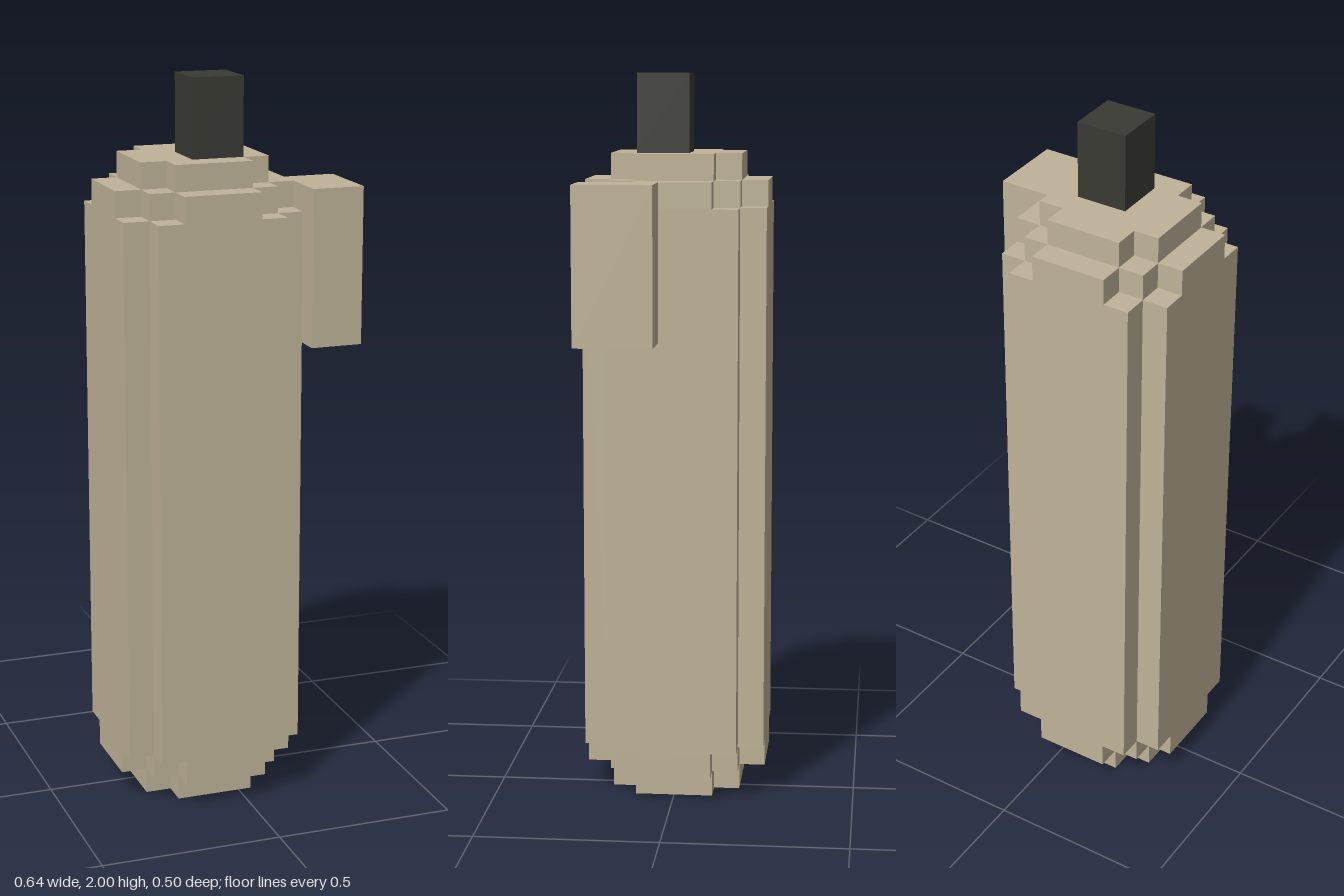
import * as THREE from 'three';

const U = 2 / 28; // one block

// Stepped prism: one quarter of the outline, repeated by quarter turns
function steppedPrism(quarter, y0, y1) {
  const points = [];
  for (let turn = 0; turn < 4; turn++) {
    for (const [a, b] of quarter) {
      const [x, y] = [[a, b], [-b, a], [-a, -b], [b, -a]][turn];
      points.push(new THREE.Vector2(x * U, y * U));
    }
  }
  const geometry = new THREE.ExtrudeGeometry(new THREE.Shape(points), {
    depth: (y1 - y0) * U, bevelEnabled: false,
  });
  geometry.rotateX(-Math.PI / 2);
  geometry.translate(-U, y0 * U, 0);
  return geometry;
}

// Box given by its minimum and maximum corners in blocks
function block(min, max) {
  const size = max.map((v, i) => (v - min[i]) * U);
  const mid = max.map((v, i) => ((v + min[i]) / 2) * U);
  return new THREE.BoxGeometry(...size).translate(...mid);
}

export function createModel() {
  const tan = new THREE.MeshStandardMaterial({ color: 0xbfb398 });
  tan.name = 'tan';
  const charcoal = new THREE.MeshStandardMaterial({ color: 0x3a3a34 });
  charcoal.name = 'charcoal';

  const model = new THREE.Group();
  model.name = 'model';
  const add = (name, geometry, material, parent = model) => {
    const mesh = new THREE.Mesh(geometry, material);
    mesh.name = name;
    parent.add(mesh);
  };

  // Rounded blocky body, stacked from stepped layers
  const body = new THREE.Group();
  body.name = 'body';
  model.add(body);
  const cap = [[2.5, 1.5], [1.5, 1.5], [1.5, 2.5]];
  const shoulder = [[3.5, 1.5], [2.5, 1.5], [2.5, 2.5], [1.5, 2.5], [1.5, 3.5]];
  const trunk = [[3.5, 2.5], [2.5, 2.5], [2.5, 3.5]];
  add('bottomCap', steppedPrism(cap, 0, 1), tan, body);
  add('lowerShoulder', steppedPrism(shoulder, 1, 2), tan, body);
  add('trunk', steppedPrism(trunk, 2, 23), tan, body);
  add('upperShoulder', steppedPrism(shoulder, 23, 24), tan, body);
  add('topCap', steppedPrism(cap, 24, 25), tan, body);

  // Side block near the top, on the left
  add('sideBlock', block([2.5, 18, 0.5], [4.5, 24, 3.5]), tan);

  // Dark stem on top, set slightly forward
  add('stem', block([-1.5, 25, -0.5], [0.5, 28, 1.5]), charcoal);

  return model;
}
